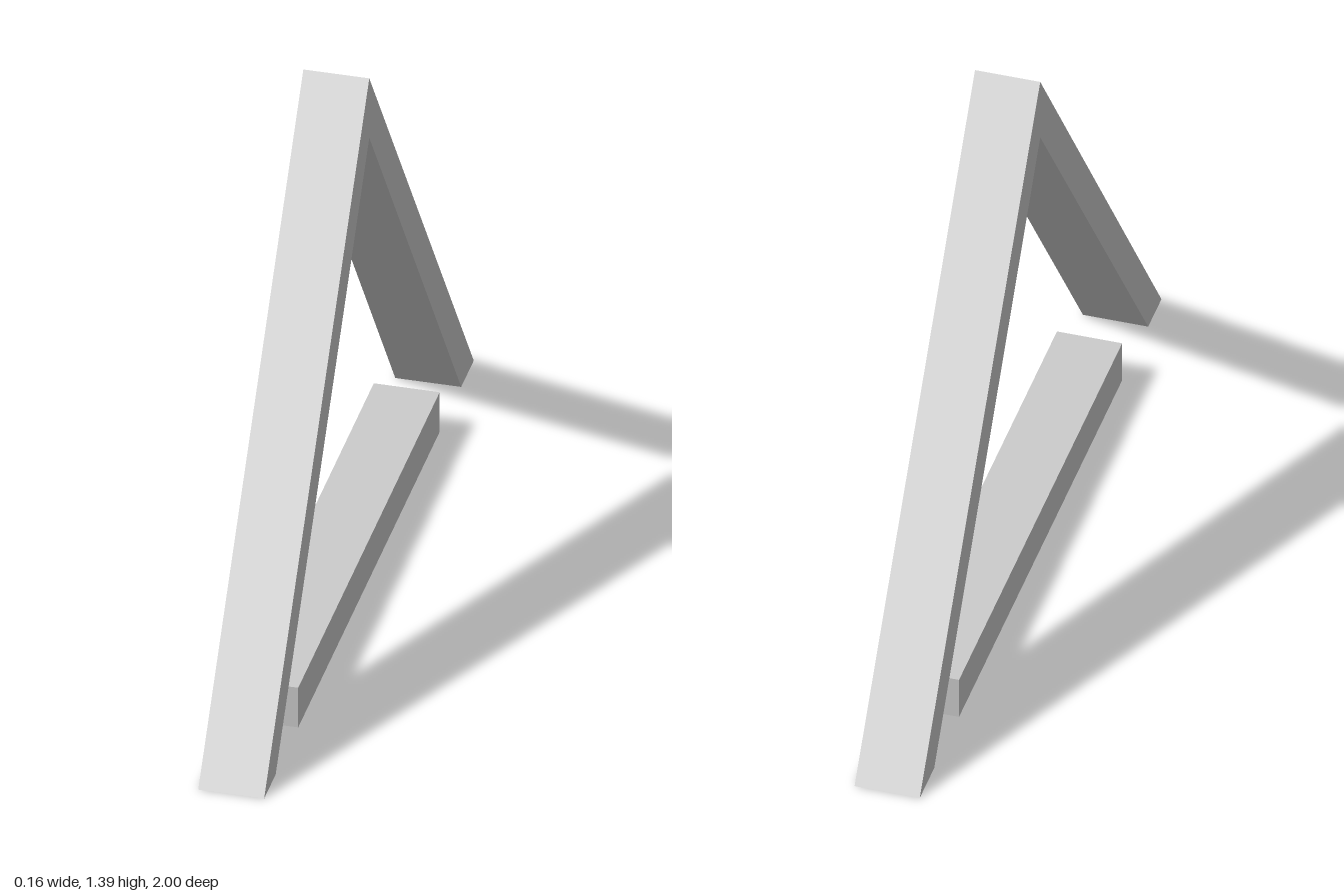
import * as THREE from 'three';

const WIDTH = 0.16;

export function createModel() {
  const group = new THREE.Group();
  const material = new THREE.MeshStandardMaterial({ color: 0xcccccc, flatShading: true });

  // Inverted V: both legs mitred at the apex and cut level with the ground
  const outline = new THREE.Shape([
    [1, 0], [-0.003, 1.39], [-1, 0], [-0.88, 0], [-0.003, 1.225], [0.89, 0],
  ].map(([z, y]) => new THREE.Vector2(z, y)));
  const legGeometry = new THREE.ExtrudeGeometry(outline, { depth: WIDTH, bevelEnabled: false });
  legGeometry.translate(0, 0, -WIDTH / 2).rotateY(-Math.PI / 2);
  const legs = new THREE.Mesh(legGeometry, material);
  legs.name = 'slopingLegs';

  // Separate bar lying on the ground between the legs
  const bar = new THREE.Mesh(new THREE.BoxGeometry(WIDTH, 0.11, 1.35), material);
  bar.position.y = 0.055;
  bar.name = 'groundBar';

  group.add(legs, bar);
  return group;
}
